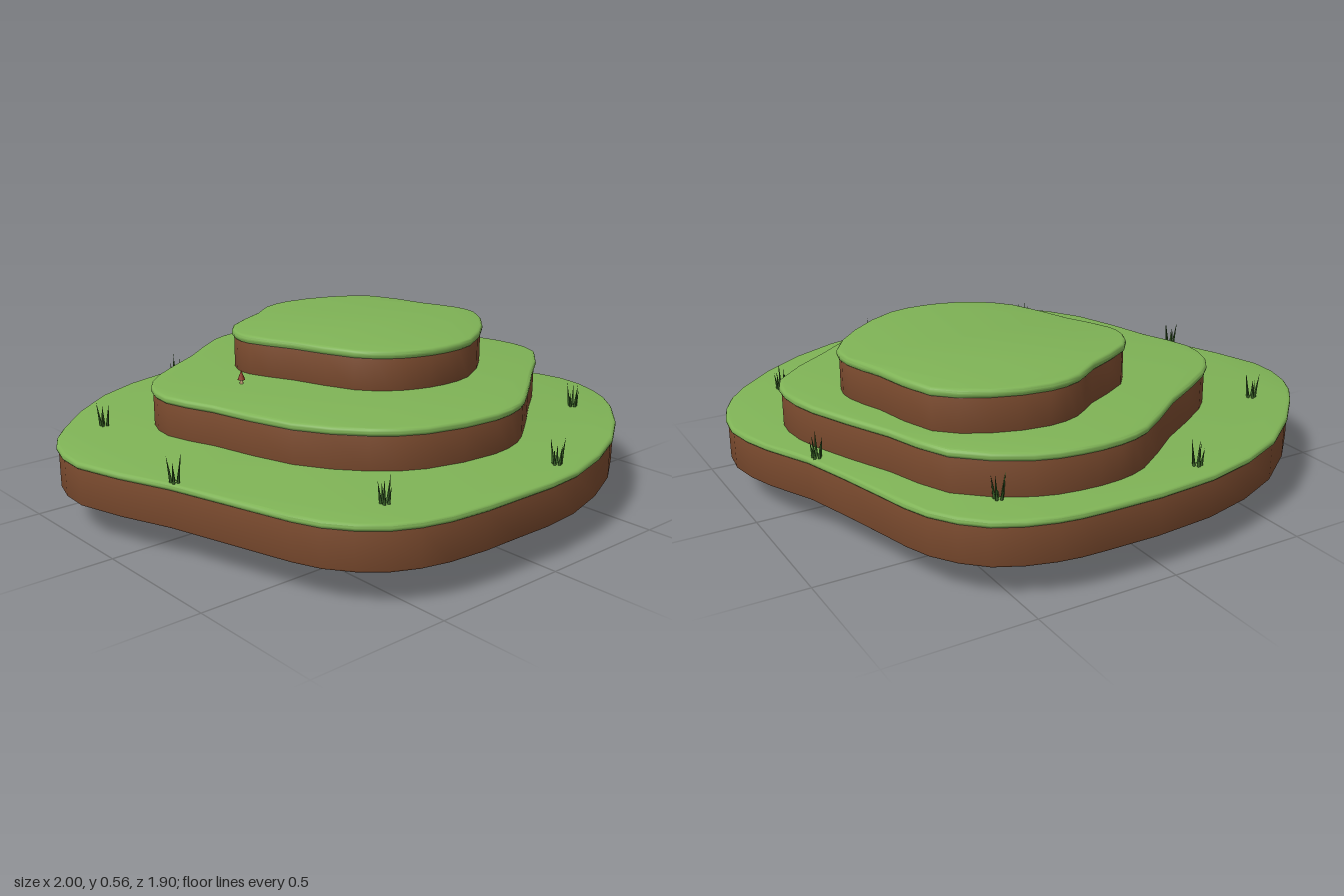
import * as THREE from 'three';
import { toCreasedNormals } from 'three/addons/utils/BufferGeometryUtils.js';

const mat = (color) => new THREE.MeshStandardMaterial({ color });
const grassMat = mat(0x7fb356), soilMat = mat(0x7a4a2e), sandMat = mat(0xc8b88a);
const stoneMat = mat(0x77777a), gemMat = mat(0x5fb4cc), bladeMat = mat(0x3a6428);
const stemMat = mat(0xc9a878), capMat = mat(0x8a3a24);

// Outlines as x, z pairs, seen from above
const lowerOutline = [
  -1, -0.2, -0.965, -0.4, -0.85, -0.56, -0.54, -0.82, -0.185, -0.94, 0.23, -0.955, 0.39, -0.94,
  0.58, -0.865, 0.71, -0.71, 0.77, -0.52, 0.87, -0.17, 0.95, 0, 1, 0.2, 0.955, 0.395, 0.84, 0.565,
  0.535, 0.8, 0.18, 0.93, -0.1, 0.94, -0.39, 0.925, -0.58, 0.855, -0.715, 0.705, -0.785, 0.5, -0.88, 0.16];
const middleOutline = [
  -0.63, -0.23, -0.595, -0.375, -0.495, -0.485, -0.25, -0.635, -0.025, -0.795, 0.095, -0.83, 0.245, -0.83,
  0.39, -0.795, 0.6, -0.64, 0.69, -0.41, 0.82, -0.105, 0.85, 0.065, 0.815, 0.2, 0.585, 0.385,
  0.365, 0.55, 0.245, 0.625, 0.095, 0.655, -0.18, 0.605, -0.335, 0.5, -0.485, 0.285, -0.57, -0.035];
const upperOutline = [
  -0.245, -0.265, -0.24, -0.35, -0.175, -0.45, 0.015, -0.55, 0.115, -0.62, 0.235, -0.645, 0.43, -0.6,
  0.58, -0.49, 0.645, -0.25, 0.69, -0.105, 0.68, 0, 0.55, 0.16, 0.345, 0.295, 0.2, 0.31,
  0.085, 0.285, 0, 0.24, -0.09, 0.145, -0.175, -0.095];
const baseOutline = [
  0.53, 0.12, 0.51, -0.08, 0.45, -0.25, 0.27, -0.4, 0, -0.46, -0.25, -0.49, -0.38, -0.41, -0.43, -0.18,
  -0.475, 0.05, -0.46, 0.25, -0.34, 0.42, -0.12, 0.51, 0.08, 0.47, 0.25, 0.37, 0.43, 0.27];

// Smooth closed outline, extruded upward from y0 to y1 with rounded rims
function slab(name, outline, y0, y1, bevel, inset, material) {
  const points = [];
  for (let i = 0; i < outline.length; i += 2) points.push(new THREE.Vector3(outline[i], -outline[i + 1], 0));
  const curve = new THREE.CatmullRomCurve3(points, true);
  const ring = curve.getPoints(points.length * 2).slice(0, -1).map((p) => new THREE.Vector2(p.x, p.y));
  const geometry = new THREE.ExtrudeGeometry(new THREE.Shape(ring), {
    depth: y1 - y0 - 2 * bevel, bevelEnabled: true, bevelThickness: bevel,
    bevelSize: bevel, bevelOffset: -bevel - inset, bevelSegments: 3,
  });
  geometry.rotateX(-Math.PI / 2).translate(0, y0 + bevel, 0);
  const mesh = new THREE.Mesh(toCreasedNormals(geometry, 0.65), material);
  mesh.name = name;
  return mesh;
}

function ellipsoid(name, x, y, z, rx, ry, rz, material) {
  const mesh = new THREE.Mesh(new THREE.SphereGeometry(1, 14, 10), material);
  mesh.name = name;
  mesh.position.set(x, y, z);
  mesh.scale.set(rx, ry, rz);
  return mesh;
}

// Clump of thin leaning blades
function grassTuft(x, z, turn) {
  const tuft = new THREE.Group();
  tuft.name = 'grassTuft';
  for (let i = 0; i < 5; i++) {
    const height = 0.065 + 0.015 * ((i * 2) % 3);
    const blade = new THREE.Mesh(new THREE.ConeGeometry(0.006, height, 5).translate(0, height / 2, 0), bladeMat);
    const angle = i * 1.257;
    blade.name = 'grassBlade';
    blade.position.set(Math.cos(angle) * 0.012, 0, Math.sin(angle) * 0.012);
    blade.rotation.set(Math.sin(angle) * 0.14, 0, -Math.cos(angle) * 0.14);
    tuft.add(blade);
  }
  tuft.position.set(x, 0.27, z);
  tuft.rotation.y = turn;
  return tuft;
}

export function createModel() {
  const model = new THREE.Group();
  model.name = 'terracedIsland';

  // Sandy foot
  model.add(slab('sandBase', baseOutline, 0, 0.13, 0.006, 0, sandMat));

  // Three soil terraces, each with a grass cap
  const tiers = [
    ['lower', lowerOutline, 0.12, 0.25, 0.275],
    ['middle', middleOutline, 0.265, 0.392, 0.42],
    ['upper', upperOutline, 0.41, 0.535, 0.565],
  ];
  for (const [name, outline, bottom, seam, top] of tiers) {
    model.add(slab(name + 'Soil', outline, bottom, seam + 0.005, 0.006, 0.008, soilMat));
    model.add(slab(name + 'Grass', outline, seam, top, 0.012, 0, grassMat));
  }

  // Stones tucked under the overhang
  const stones = [
    [0.53, 0.03, 0.05], [0.51, -0.12, 0.06], [0.38, 0.32, 0.06], [0.41, -0.28, 0.035],
    [0.17, 0.43, 0.06], [-0.55, 0.04, 0.06], [-0.46, 0.2, 0.05],
  ];
  for (const [x, z, r] of stones) model.add(ellipsoid('stone', x, 0.122, z, r, 0.024, r * 0.85, stoneMat));
  model.add(ellipsoid('blueStone', 0.52, 0.12, -0.045, 0.03, 0.02, 0.05, gemMat));

  // Grass tufts around the lower terrace
  const tufts = [
    [-0.18, -0.855], [0.485, -0.745], [-0.73, -0.48], [0.84, -0.185],
    [-0.855, 0.165], [0.72, 0.475], [-0.48, 0.725], [0.175, 0.845],
  ];
  tufts.forEach(([x, z], i) => model.add(grassTuft(x, z, i * 1.9)));

  // Tiny mushroom on the middle terrace
  const mushroom = new THREE.Group();
  mushroom.name = 'mushroom';
  const stem = new THREE.Mesh(new THREE.CylinderGeometry(0.005, 0.007, 0.02, 8).translate(0, 0.01, 0), stemMat);
  stem.name = 'mushroomStem';
  const cap = new THREE.Mesh(new THREE.ConeGeometry(0.014, 0.035, 10).translate(0, 0.034, 0), capMat);
  cap.name = 'mushroomCap';
  mushroom.add(stem, cap);
  mushroom.position.set(-0.335, 0.418, -0.185);
  model.add(mushroom);

  return model;
}
